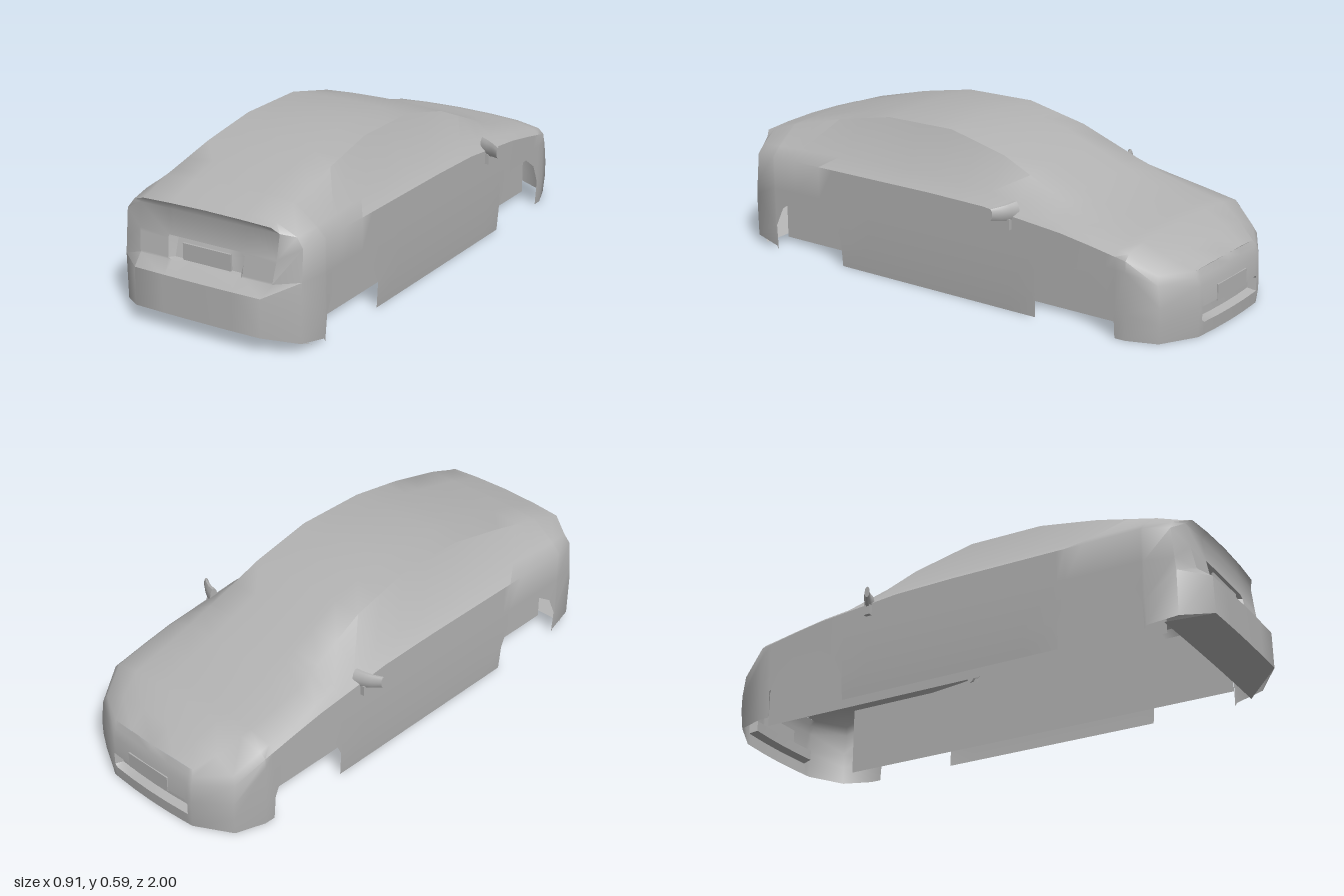
import * as THREE from 'three';
import { mergeGeometries, toCreasedNormals } from 'three/addons/utils/BufferGeometryUtils.js';

// Surface through rows of [x, y, z] points
function grid(rows) {
  const pos = [];
  for (let i = 0; i < rows.length - 1; i++) {
    for (let j = 0; j < rows[i].length - 1; j++) {
      const a = rows[i][j], b = rows[i + 1][j], c = rows[i][j + 1], d = rows[i + 1][j + 1];
      pos.push(...a, ...c, ...b, ...b, ...c, ...d);
    }
  }
  const g = new THREE.BufferGeometry();
  g.setAttribute('position', new THREE.Float32BufferAttribute(pos, 3));
  return g;
}

// Body sections: z, half width, belt y, shoulder x, shoulder y, roof edge x, centre y
const KEYS = [
  [0.80, 0.390, 0.375, 0.355, 0.410, 0.265, 0.485],
  [0.56, 0.390, 0.375, 0.345, 0.415, 0.260, 0.545],
  [0.33, 0.390, 0.375, 0.335, 0.420, 0.250, 0.588],
  [0.04, 0.390, 0.375, 0.335, 0.420, 0.250, 0.590],
  [-0.20, 0.390, 0.370, 0.340, 0.410, 0.255, 0.535],
  [-0.56, 0.390, 0.335, 0.365, 0.355, 0.280, 0.385],
  [-0.80, 0.387, 0.290, 0.365, 0.310, 0.270, 0.337],
];

// Stations along the flank: z and the height of its lower edge, which follows the wheel arches
const ARCH = [[0.165, 0], [0.163, 0.1], [0.128, 0.175], [0.06, 0.22], [-0.06, 0.22], [-0.128, 0.175], [-0.163, 0.1], [-0.165, 0]];
const arch = (z) => ARCH.map(([dz, y]) => [z + dz, y]);
const STATIONS = [[0.8, 0.012], ...arch(0.627), [0.33, 0], [0.18, 0], [0.04, 0], [-0.08, 0], [-0.2, 0], [-0.32, 0], ...arch(-0.593), [-0.8, 0]];

// Half section from sill to centre line
function halfSection([z, sill]) {
  let i = 0;
  while (i < KEYS.length - 2 && z < KEYS[i + 1][0]) i++;
  const t = (z - KEYS[i][0]) / (KEYS[i + 1][0] - KEYS[i][0]);
  const [, w, belt, sx, sy, rx, cy] = KEYS[i].map((v, k) => v + (KEYS[i + 1][k] - v) * t);
  const low = Math.max(0.1, sill + 0.005);
  return [[w - (sill < 0.05 ? 0.007 : 0), sill, z], [w, low, z], [w, 0.25, z], [w, belt, z], [sx, sy, z], [rx, cy - 0.01, z], [rx * 0.55, cy - 0.003, z], [0, cy, z]];
}

const mirrorX = ([x, y, z]) => [-x, y, z];
const fullSection = (half) => [...half.map(mirrorX), ...half.slice(0, -1).reverse()];

// Rounded corners at both ends, sill to centre line
const TAIL_CORNER = [[0.365, 0.03, 0.91], [0.368, 0.2, 0.91], [0.368, 0.25, 0.905], [0.366, 0.365, 0.895], [0.34, 0.4, 0.89], [0.265, 0.44, 0.9], [0.146, 0.45, 0.9], [0, 0.453, 0.9]];
const TAIL_END = [[0.26, 0.06, 1.0], [0.262, 0.2, 0.997], [0.275, 0.236, 0.945], [0.285, 0.32, 0.93], [0.29, 0.41, 0.918], [0.265, 0.432, 0.933], [0.146, 0.438, 0.938], [0, 0.441, 0.94]];
const NOSE_CORNER = [[0.34, 0, -0.91], [0.345, 0.07, -0.915], [0.345, 0.13, -0.915], [0.343, 0.21, -0.905], [0.328, 0.24, -0.895], [0.24, 0.277, -0.89], [0.132, 0.285, -0.895], [0, 0.288, -0.9]];
const NOSE_END = [[0.205, 0, -0.985], [0.21, 0.05, -0.99], [0.21, 0.11, -0.99], [0.21, 0.185, -0.985], [0.208, 0.215, -0.975], [0.2, 0.235, -0.965], [0.11, 0.241, -0.97], [0, 0.243, -0.975]];

// End face: levels [x, y, z, inset], the inset applying inside the inner span
function endFace(levels, inner, bulge, crown) {
  const ts = [-1, -inner - 0.06, -inner, -inner / 2, 0, inner / 2, inner, inner + 0.06, 1];
  const top = Math.max(...levels.map((l) => l[1]));
  return grid(levels.map(([x, y, z, inset = 0]) => ts.map((t) => [
    x * t,
    y + (y === top ? crown * (1 - t * t) : 0),
    z + bulge * (1 - t * t) + (Math.abs(t) <= inner ? inset : 0),
  ])));
}

function bodyGeometry() {
  const halves = [TAIL_END, TAIL_CORNER, ...STATIONS.map(halfSection), NOSE_CORNER, NOSE_END];
  const shell = grid(halves.map(fullSection));
  // Tail with under-bumper lip and number plate recess
  const tail = endFace([
    [0.375, 0.012, 0.86], ...TAIL_END.slice(0, 3), [0.276, 0.242, 0.944, -0.02], [0.284, 0.308, 0.932, -0.035], ...TAIL_END.slice(3, 6),
  ], 0.5, 0.004, 0.009);
  // Nose with low air intake
  const nose = endFace([
    ...NOSE_END.slice(0, 2), [0.21, 0.06, -0.99, 0.03], [0.21, 0.1, -0.99, 0.03], ...NOSE_END.slice(2, 6),
  ].reverse(), 0.85, -0.01, 0.008);
  return toCreasedNormals(mergeGeometries([shell, tail, nose]), 0.85);
}

// Mirror housing that narrows and sweeps outward
function mirrorHousing() {
  const g = new THREE.CylinderGeometry(0.022, 0.038, 0.09, 10, 3);
  g.rotateZ(-Math.PI / 2);
  const p = g.attributes.position;
  for (let i = 0; i < p.count; i++) {
    const x = p.getX(i);
    p.setXYZ(i, x, p.getY(i), p.getZ(i) * 0.5 + x * 0.5 + x * x * 3);
  }
  return toCreasedNormals(g, 0.8);
}

export function createModel() {
  const car = new THREE.Group();
  car.name = 'carBody';
  const paint = new THREE.MeshStandardMaterial({ color: 0xb2b2b2, side: THREE.DoubleSide });
  paint.name = 'grey';

  const add = (name, geometry, x = 0, y = 0, z = 0) => {
    const mesh = new THREE.Mesh(geometry, paint);
    mesh.name = name;
    mesh.position.set(x, y, z);
    car.add(mesh);
    return mesh;
  };

  add('bodyShell', bodyGeometry());

  // Number plates
  add('tailPlate', new THREE.BoxGeometry(0.2, 0.062, 0.008), 0, 0.27, 0.93);
  add('nosePlate', new THREE.BoxGeometry(0.2, 0.06, 0.008), 0, 0.135, -0.996);

  for (const [side, s] of [['left', 1], ['right', -1]]) {
    // Inner wheel well wall
    const wall = add(side + 'InnerWall', new THREE.PlaneGeometry(1.66, 0.27), s * 0.285, 0.15, 0);
    wall.rotation.y = s * Math.PI / 2;

    // Door mirror on a short stem
    const mirror = new THREE.Group();
    mirror.name = side + 'Mirror';
    const housing = new THREE.Mesh(mirrorHousing(), paint);
    housing.name = 'mirrorHousing';
    const stem = new THREE.Mesh(new THREE.BoxGeometry(0.03, 0.04, 0.025), paint);
    stem.name = 'mirrorStem';
    stem.position.set(-0.02, -0.042, -0.005);
    mirror.add(housing, stem);
    mirror.position.set(s * 0.411, 0.372, -0.312);
    mirror.scale.x = s;
    car.add(mirror);
  }
  return car;
}
